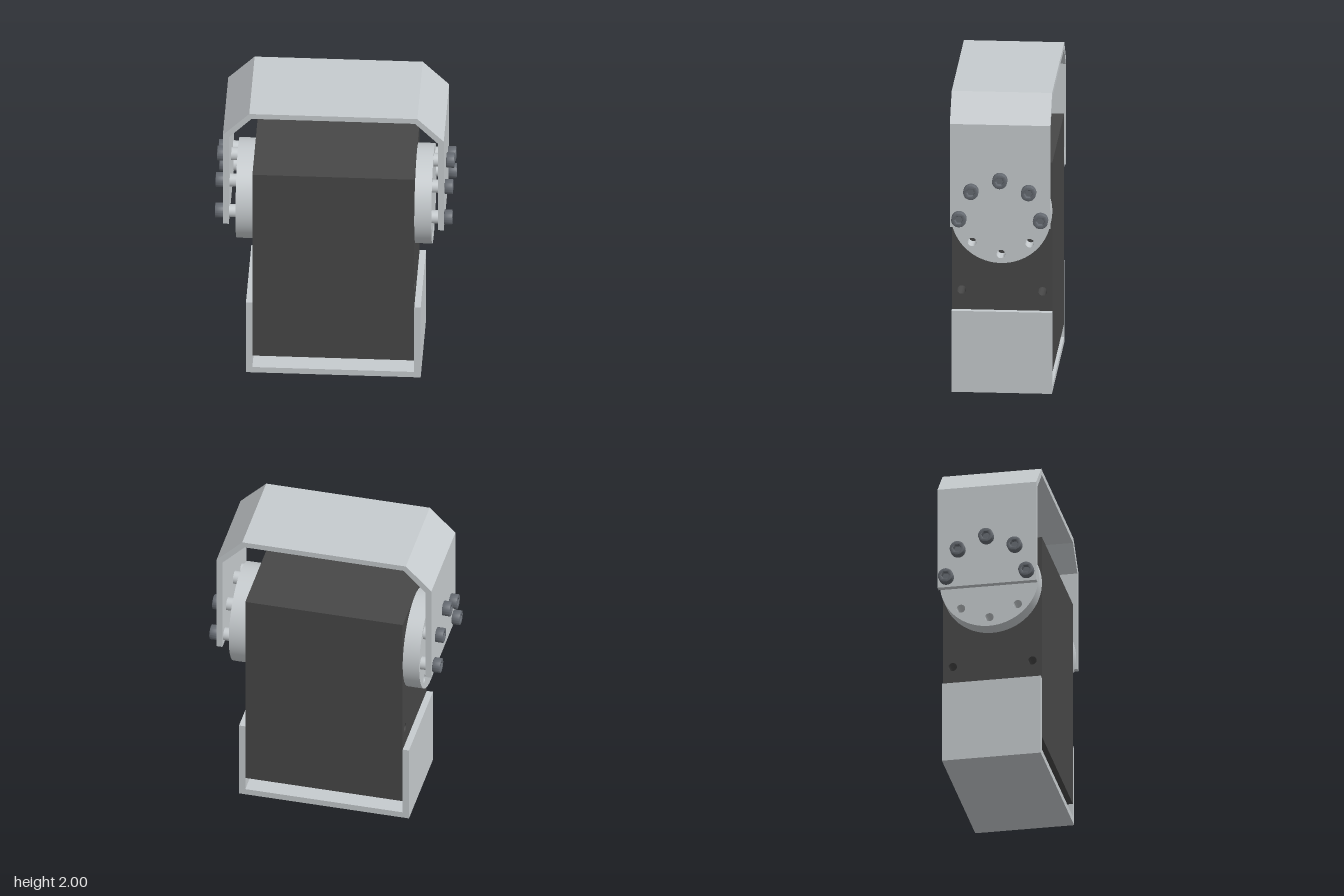
import * as THREE from 'three';
import { toCreasedNormals } from 'three/addons/utils/BufferGeometryUtils.js';

const material = (name, color) => {
  const m = new THREE.MeshStandardMaterial({ color });
  m.name = name;
  return m;
};

const circle = (Type, x, y, r) => new Type().absarc(x, y, r, 0, Math.PI * 2, false);

const polygon = (points) => new THREE.Shape(points.map(([x, y]) => new THREE.Vector2(x, y)));

// Extrude a shape; round walls become smooth, corners stay sharp
const extrude = (shape, depth, options = {}) => toCreasedNormals(
  new THREE.ExtrudeGeometry(shape, { depth, bevelEnabled: false, curveSegments: 24, ...options }), 0.6);

// Extrude a shape drawn in the side plane outwards along x, starting at x0
const extrudeX = (shape, x0, x1, options) =>
  extrude(shape, x1 - x0, options).rotateY(Math.PI / 2).translate(x0, 0, 0);

export function createModel() {
  const metal = material('light metal', 0xc6cbce);
  const dark = material('dark housing', 0x474747);
  const steel = material('screw steel', 0x666b72);

  const model = new THREE.Group();
  model.name = 'servoWithBrackets';
  const add = (parent, name, geometry, mat) => {
    const mesh = new THREE.Mesh(geometry, mat);
    mesh.name = name;
    parent.add(mesh);
    return mesh;
  };

  const D = 0.32;          // half depth of housing and brackets
  const hubY = 1.207;      // rotation axis height
  const boltR = 0.26;      // bolt circle radius

  // Housing with two mounting holes running straight through
  const side = polygon([[-D, 0.13], [D, 0.13], [D, 1.53], [-D, 1.53]]);
  for (const z of [-0.258, 0.258]) side.holes.push(circle(THREE.Path, z, 0.67, 0.028));
  add(model, 'housing', extrudeX(side, -0.515, 0.515), dark);

  // Lower U bracket
  const lower = polygon([
    [-0.556, 0], [0.556, 0], [0.556, 0.54], [0.515, 0.54],
    [0.515, 0.041], [-0.515, 0.041], [-0.515, 0.54], [-0.556, 0.54],
  ]);
  add(model, 'lowerBracket', extrude(lower, 2 * D).translate(0, 0, -D), metal);

  // Upper bracket with chamfered corners
  const half = [
    [0.665, 1.145], [0.703, 1.145], [0.703, 1.832], [0.535, 2],
  ];
  const inner = [[0.52, 1.963], [0.665, 1.815]];
  const mirror = (pts) => pts.map(([x, y]) => [-x, y]).reverse();
  const upper = polygon([...half, ...mirror(half), ...mirror(inner), ...inner]);
  add(model, 'upperBracket', extrude(upper, 2 * D).translate(0, 0, -D), metal);

  // Horn disc with three open holes along its lower edge
  const discShape = circle(THREE.Shape, 0, 0, D);
  for (const a of [-45, -90, -135]) {
    const t = THREE.MathUtils.degToRad(a);
    discShape.holes.push(circle(THREE.Path, boltR * Math.cos(t), boltR * Math.sin(t), 0.028));
  }
  const discGeometry = extrudeX(discShape, 0.515, 0.623, { curveSegments: 64 });

  // Socket screw parts: spacer, head with hexagonal recess, recess floor
  const spacerGeometry = new THREE.CylinderGeometry(0.042, 0.042, 0.05, 32)
    .rotateZ(Math.PI / 2).translate(0.643, 0, 0);
  const headShape = circle(THREE.Shape, 0, 0, 0.048);
  const hex = [];
  for (let i = 0; i < 6; i++) {
    const t = (i * Math.PI) / 3;
    hex.push(new THREE.Vector2(0.026 * Math.cos(t), 0.026 * Math.sin(t)));
  }
  headShape.holes.push(new THREE.Path(hex));
  const headGeometry = extrudeX(headShape, 0.707, 0.751, {
    bevelEnabled: true, bevelSize: 0.004, bevelThickness: 0.004, bevelOffset: -0.004, bevelSegments: 2,
  });
  const floorGeometry = new THREE.CylinderGeometry(0.036, 0.036, 0.02, 24)
    .rotateZ(Math.PI / 2).translate(0.715, 0, 0);

  // Same hub on both sides
  for (const [name, turn] of [['left', 0], ['right', Math.PI]]) {
    const hub = new THREE.Group();
    hub.name = name + 'Hub';
    hub.position.y = hubY;
    hub.rotation.y = turn;
    add(hub, 'hornDisc', discGeometry, metal);
    for (let i = 0; i < 5; i++) {
      const t = (i * Math.PI) / 4;
      const screw = new THREE.Group();
      screw.name = 'screw' + (i + 1);
      screw.position.set(0, boltR * Math.sin(t), boltR * Math.cos(t));
      add(screw, 'spacer', spacerGeometry, metal);
      add(screw, 'screwHead', headGeometry, steel);
      add(screw, 'socketFloor', floorGeometry, steel);
      hub.add(screw);
    }
    model.add(hub);
  }
  return model;
}
